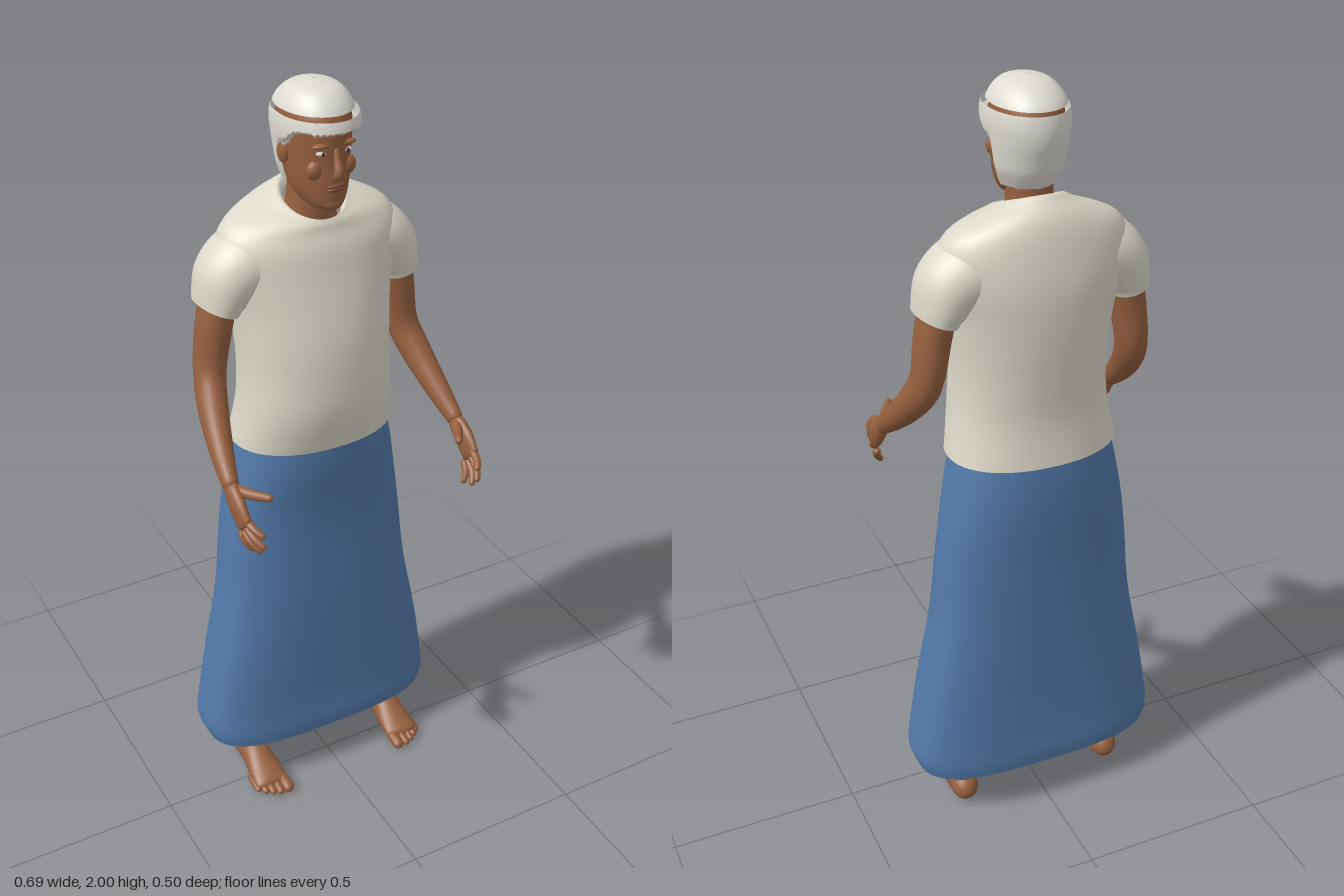
import * as THREE from 'three';
import { mergeVertices } from 'three/addons/utils/BufferGeometryUtils.js';

const paint = (name, color, side = THREE.FrontSide) => {
  const m = new THREE.MeshStandardMaterial({ color, side });
  m.name = name;
  return m;
};

// Smooth surface from f(u, v), with its seams welded
function surface(nu, nv, f) {
  const g = new THREE.PlaneGeometry(1, 1, nu, nv);
  const p = g.attributes.position;
  for (let j = 0; j <= nv; j++) for (let i = 0; i <= nu; i++) {
    const q = f((i % nu) / nu, j / nv, i % nu);
    p.setXYZ(j * (nu + 1) + i, q[0], q[1], q[2]);
  }
  g.deleteAttribute('uv');
  g.deleteAttribute('normal');
  const welded = mergeVertices(g, 1e-5);
  welded.computeVertexNormals();
  return welded;
}

// Smooth value of every column at row position t
function rowAt(rows, t) {
  const n = rows.length - 1, i = Math.min(Math.floor(t), n - 1), k = t - i;
  const at = j => rows[Math.max(0, Math.min(n, j))];
  return rows[0].map((_, c) => {
    const [a, b, d, e] = [at(i - 1)[c], at(i)[c], at(i + 1)[c], at(i + 2)[c]];
    return b + 0.5 * k * (d - a + k * (2 * a - 5 * b + 4 * d - e + k * (3 * (b - d) + e - a)));
  });
}

// Point on a horizontal section [y, halfWidth, zFront, zBack, power, frontDrop]
function ringPoint(rows, t, angle, off = 0) {
  const [y, w, zf, zb, p = 2, drop = 0] = rowAt(rows, t);
  const s = Math.sin(angle), c = Math.cos(angle);
  const bend = q => Math.sign(q) * Math.abs(q) ** (2 / p);
  return [(w + off) * bend(s), y - drop * c, (zf + zb) / 2 + ((zf - zb) / 2 + off) * bend(c)];
}

const loft = (rows, nu = 48, step = 4) => surface(nu, (rows.length - 1) * step,
  (u, v) => ringPoint(rows, v * (rows.length - 1), u * Math.PI * 2));

// Limb through points [x, y, z, radiusAcross, radiusOther], with round ends if asked
function limb(points, { ref = [1, 0, 0], nu = 16, nv = 20, round = true } = {}) {
  const curve = new THREE.CatmullRomCurve3(points.map(p => new THREE.Vector3(p[0], p[1], p[2])));
  const length = curve.getLength(), n = points.length - 1;
  return surface(nu, nv, (u, v) => {
    const s = round ? (1 - Math.cos(v * Math.PI)) / 2 : v;
    const c = curve.getPoint(s), t = curve.getTangent(s), row = rowAt(points, s * n);
    const a = new THREE.Vector3(...ref).addScaledVector(t, -t.dot(new THREE.Vector3(...ref))).normalize();
    const b = t.clone().cross(a);
    const d = Math.min(s, 1 - s) * length / Math.min(row[3], row[4]);
    const f = round && d < 1 ? Math.sqrt(Math.max(0, 1 - (1 - d) ** 2)) : 1;
    c.addScaledVector(a, Math.sin(u * Math.PI * 2) * row[3] * f);
    c.addScaledVector(b, Math.cos(u * Math.PI * 2) * row[4] * f);
    return [c.x, c.y, c.z];
  });
}

const SHIRT = [
  [1.700, 0.068, 0.000, -0.145, 2, 0.030], [1.716, 0.078, 0.008, -0.160, 2, 0.034],
  [1.708, 0.105, 0.010, -0.180, 2, 0.028], [1.690, 0.160, 0.015, -0.205, 2, 0.020],
  [1.660, 0.215, 0.020, -0.222, 2, 0.010], [1.610, 0.238, 0.035, -0.235, 2.1, 0],
  [1.540, 0.225, 0.050, -0.245, 2.2, 0], [1.460, 0.208, 0.068, -0.246, 2.2, 0],
  [1.380, 0.200, 0.083, -0.242, 2.2, 0], [1.290, 0.196, 0.090, -0.235, 2.2, 0],
  [1.190, 0.203, 0.089, -0.230, 2.2, 0], [1.080, 0.222, 0.063, -0.242, 2.2, 0]];

const SKIRT = [
  [1.090, 0.208, 0.052, -0.232, 2.2], [1.000, 0.226, 0.050, -0.238, 2.3],
  [0.900, 0.243, 0.040, -0.238, 2.4], [0.780, 0.258, 0.038, -0.234, 2.5],
  [0.600, 0.275, 0.045, -0.232, 2.7], [0.400, 0.314, 0.048, -0.232, 2.9],
  [0.250, 0.338, 0.050, -0.236, 3], [0.180, 0.346, 0.055, -0.240, 3],
  [0.140, 0.336, 0.054, -0.238, 3]];

const HEAD = [
  [1.988, 0.002, -0.058, -0.062], [1.980, 0.045, 0.000, -0.115], [1.950, 0.074, 0.036, -0.160],
  [1.910, 0.082, 0.050, -0.172], [1.870, 0.079, 0.050, -0.170], [1.830, 0.076, 0.046, -0.158],
  [1.790, 0.072, 0.047, -0.145], [1.750, 0.062, 0.046, -0.125], [1.720, 0.040, 0.040, -0.070],
  [1.706, 0.002, 0.012, 0.008]];

// Lowest head row reached by the hair at each angle: fringe, sideburn, nape
function hairline(angle) {
  const c = Math.cos(angle), { smoothstep } = THREE.MathUtils;
  return 3.1 + 1.1 * (1 - smoothstep(c, 0.1, 0.6)) + 2.6 * (1 - smoothstep(c, -0.3, 0));
}

export function createModel() {
  const model = new THREE.Group();
  model.name = 'standingMan';
  const skin = paint('skin', 0x95603f);
  const lips = paint('lips', 0x7c4836);
  const shirt = paint('shirtCloth', 0xdcd8ca, THREE.DoubleSide);
  const blue = paint('skirtCloth', 0x5279a8, THREE.DoubleSide);
  const white = paint('hairAndCap', 0xdedcd2, THREE.DoubleSide);
  const eyeWhite = paint('eyeWhite', 0xc9c8c4);
  const iris = paint('iris', 0x3f2d22);

  const add = (name, geometry, material, parent = model) => {
    const mesh = new THREE.Mesh(geometry, material);
    mesh.name = name;
    parent.add(mesh);
    return mesh;
  };
  const blob = (name, material, [x, y, z], [a, b, c]) => {
    const mesh = add(name, new THREE.SphereGeometry(1, 16, 12), material);
    mesh.position.set(x, y, z);
    mesh.scale.set(a, b, c);
    return mesh;
  };

  // Clothing
  add('shirtBody', loft(SHIRT), shirt);
  add('longSkirt', loft(SKIRT, 64), blue);

  // Head, neck and face
  add('head', loft(HEAD), skin);
  add('neck', limb([[0, 1.80, -0.080, 0.058, 0.058], [0, 1.72, -0.080, 0.057, 0.058],
    [0, 1.62, -0.090, 0.075, 0.065]], { round: false, nu: 24 }), skin);
  add('nose', limb([[0, 1.872, 0.042, 0.008, 0.008], [0, 1.840, 0.052, 0.009, 0.010],
    [0, 1.812, 0.061, 0.013, 0.012], [0, 1.800, 0.050, 0.014, 0.009]]), skin);
  blob('upperLip', lips, [0, 1.778, 0.046], [0.024, 0.005, 0.008]);
  blob('lowerLip', lips, [0, 1.769, 0.045], [0.021, 0.006, 0.008]);
  blob('chin', skin, [0, 1.732, 0.032], [0.025, 0.018, 0.014]);

  // Hair with a ragged lower edge, and the cap above it
  add('hair', surface(96, 24, (u, v, i) => {
    const angle = u * Math.PI * 2;
    const end = hairline(angle) + 0.16 * ((i * 7) % 5) / 4 * (i % 2);
    const front = Math.max(0, Math.cos(angle)) * 0.010;
    const tuck = 1 - 0.5 * THREE.MathUtils.smoothstep(v, 0.75, 1);
    return ringPoint(HEAD, 2.35 + (end - 2.35) * v, angle, (0.015 + front) * tuck);
  }), white);
  add('cap', surface(48, 14, (u, v) => {
    const p = ringPoint(HEAD, 2.15 * v, u * Math.PI * 2, 0.012 * Math.min(1, v * 4));
    p[1] += 0.012 * (1 - v);
    return p;
  }), white);

  // Paired parts
  for (const [side, s] of [['left', 1], ['right', -1]]) {
    const part = (name, points, options, material = skin) => add(side + name,
      limb(points.map(([x, ...rest]) => [x * s, ...rest]), options), material);
    blob(side + 'Ear', skin, [s * 0.080, 1.842, -0.062], [0.011, 0.030, 0.018]).rotation.y = s * -0.3;
    blob(side + 'Brow', skin, [s * 0.032, 1.876, 0.037], [0.024, 0.007, 0.012]);
    blob(side + 'Eye', eyeWhite, [s * 0.032, 1.858, 0.035], [0.014, 0.006, 0.010]);
    blob(side + 'Iris', iris, [s * 0.032, 1.858, 0.042], [0.005, 0.005, 0.004]);
    blob(side + 'Cheek', skin, [s * 0.042, 1.815, 0.022], [0.022, 0.024, 0.016]);

    // Sleeve and arm
    part('Sleeve', [[0.10, 1.580, -0.10, 0.100, 0.085], [0.17, 1.572, -0.10, 0.100, 0.088],
      [0.215, 1.540, -0.10, 0.094, 0.081], [0.240, 1.495, -0.10, 0.086, 0.064],
      [0.250, 1.468, -0.10, 0.080, 0.055]], { ref: [0, 0, 1], round: false, nu: 32 }, shirt);
    part('Arm', [[0.230, 1.54, -0.10, 0.046, 0.056], [0.256, 1.42, -0.10, 0.045, 0.052],
      [0.275, 1.30, -0.095, 0.040, 0.048], [0.293, 1.225, -0.045, 0.038, 0.042],
      [0.313, 1.14, 0.045, 0.029, 0.032], [0.324, 1.085, 0.115, 0.020, 0.024]], { nu: 24, nv: 32 });

    // Hand
    part('Palm', [[0.322, 1.095, 0.100, 0.019, 0.024], [0.325, 1.058, 0.145, 0.018, 0.038],
      [0.324, 1.015, 0.190, 0.013, 0.038]]);
    part('Thumb', [[0.318, 1.085, 0.115, 0.016, 0.016], [0.292, 1.090, 0.165, 0.013, 0.013],
      [0.264, 1.098, 0.214, 0.009, 0.010]]);
    [[1.042, 0.192, 1.018, 0.247], [1.024, 0.190, 0.986, 0.249],
      [1.006, 0.180, 0.960, 0.226], [0.992, 0.164, 0.942, 0.184]].forEach(([y, z, ty, tz], i) =>
      part('Finger' + (i + 1), [[0.323, y, z - 0.01, 0.011, 0.011],
        [0.318, (y + ty) / 2, (z + tz) / 2, 0.010, 0.010], [0.302, ty, tz, 0.008, 0.008]], { nu: 10, nv: 12 }));

    // Leg, foot and toes
    part('Leg', [[0.110, 0.95, -0.09, 0.085, 0.090], [0.150, 0.70, -0.09, 0.070, 0.075],
      [0.180, 0.48, -0.10, 0.052, 0.056], [0.200, 0.32, -0.115, 0.050, 0.058],
      [0.215, 0.14, -0.115, 0.035, 0.046], [0.215, 0.04, -0.110, 0.034, 0.046]], { nu: 24, nv: 32 });
    part('Foot', [[0.215, 0.036, -0.176, 0.034, 0.036], [0.215, 0.046, -0.110, 0.038, 0.046],
      [0.216, 0.048, -0.040, 0.040, 0.044], [0.216, 0.030, 0.030, 0.047, 0.028],
      [0.216, 0.018, 0.085, 0.048, 0.016]], { nu: 24, nv: 24 });
    [[0.182, 0.121, 0.016], [0.207, 0.119, 0.011], [0.227, 0.110, 0.010],
      [0.244, 0.098, 0.010], [0.260, 0.082, 0.010]].forEach(([x, z, r], i) =>
      part('Toe' + (i + 1), [[x, 0.020, z - 0.065, r, r], [x, 0.017, z - 0.03, r, r],
        [x, 0.012, z, r, r * 0.8]], { nu: 10, nv: 12 }));
  }
  return model;
}
